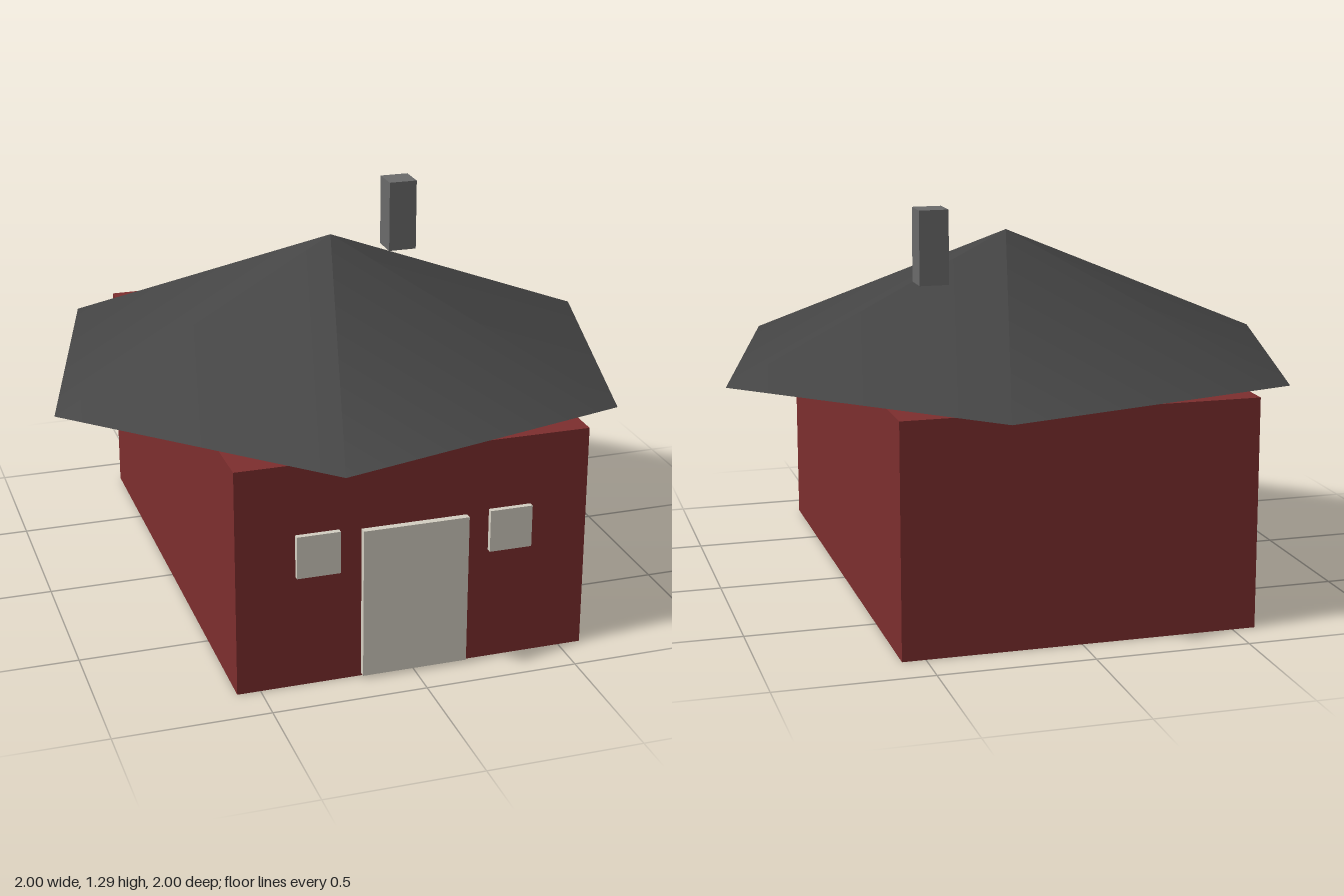
import * as THREE from 'three';

export function createModel() {
  const model = new THREE.Group();
  const red = new THREE.MeshStandardMaterial({ color: 0x7d2e2e });
  const cream = new THREE.MeshStandardMaterial({ color: 0xd4cfc2 });
  const slate = new THREE.MeshStandardMaterial({ color: 0x444444 });
  const stone = new THREE.MeshStandardMaterial({ color: 0x6b6b6b });

  // Box standing on height y
  const addBox = (name, material, [w, h, d], [x, y, z]) => {
    const mesh = new THREE.Mesh(new THREE.BoxGeometry(w, h, d), material);
    mesh.name = name;
    mesh.position.set(x, y + h / 2, z);
    model.add(mesh);
  };

  addBox('walls', red, [1.15, 0.75, 1.726], [0, 0, 0]);
  addBox('door', cream, [0.345, 0.5, 0.046], [0, 0.01, 0.863]);
  for (const [name, side] of [['leftWindow', 1], ['rightWindow', -1]]) {
    addBox(name, cream, [0.14, 0.14, 0.036], [side * 0.315, 0.378, 0.863]);
  }

  // Six-sided roof, turned an eighth
  const roof = new THREE.Mesh(new THREE.ConeGeometry(1.035, 0.43, 6), slate);
  roof.name = 'roof';
  roof.position.y = 0.75 + 0.43 / 2;
  roof.rotation.y = Math.PI / 4;
  model.add(roof);

  addBox('chimney', stone, [0.098, 0.245, 0.098], [0.316, 1.045, -0.216]);

  return model;
}
